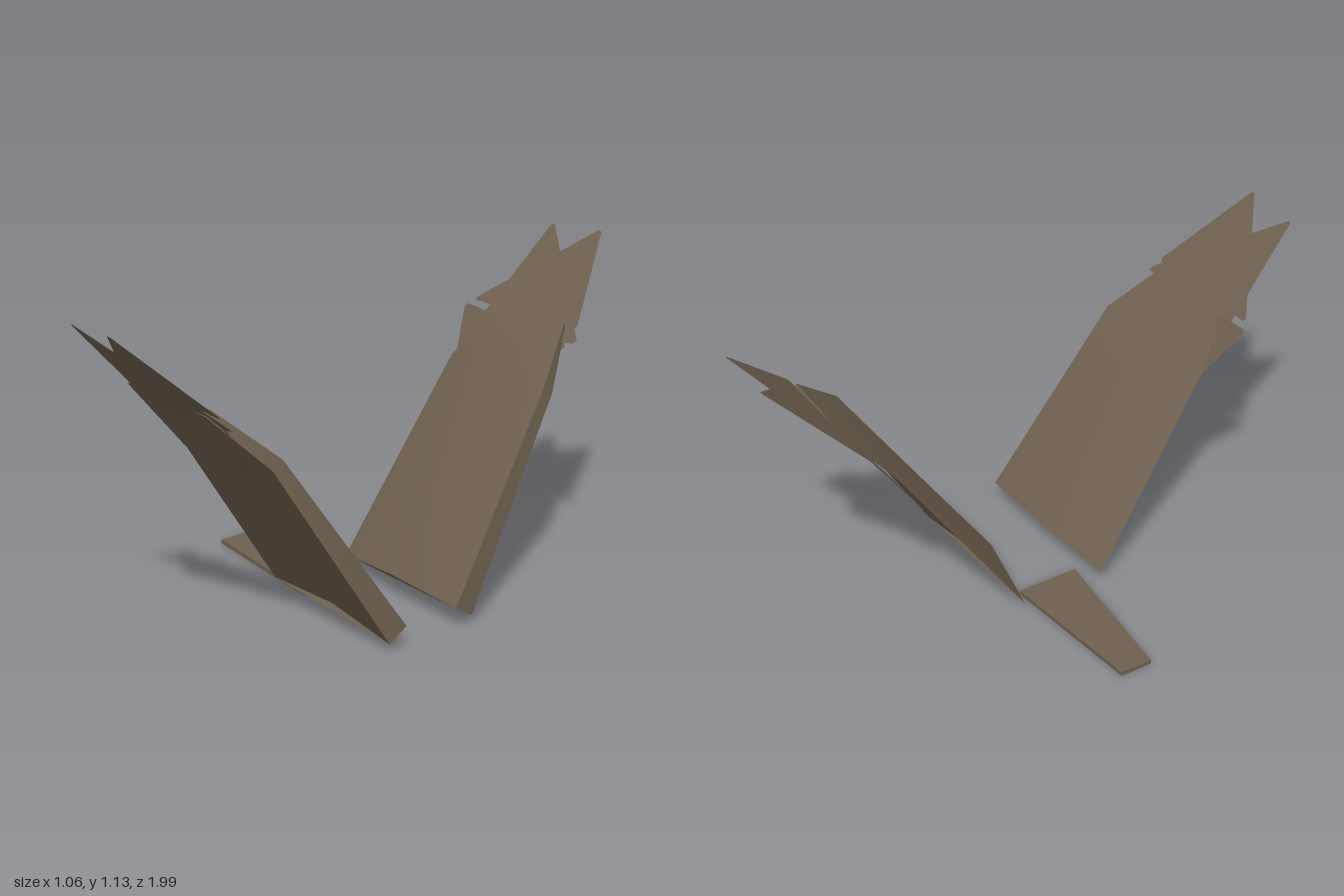
import * as THREE from 'three';
import { toCreasedNormals } from 'three/addons/utils/BufferGeometryUtils.js';

const brown = new THREE.MeshStandardMaterial({ color: 0x6e604f, side: THREE.DoubleSide });
brown.name = 'featherBrown';

function part(name, points, index) {
  let geo = new THREE.BufferGeometry();
  geo.setAttribute('position', new THREE.Float32BufferAttribute(points.flat(), 3));
  geo.setIndex(index);
  geo = toCreasedNormals(geo, 0.5);
  const mesh = new THREE.Mesh(geo, brown);
  mesh.name = name;
  return mesh;
}

// Skin a solid through equal-sized closed cross-sections; caps fan from one corner
function loft(name, sections, capCorner) {
  const n = sections[0].length, index = [];
  for (let i = 0; i < sections.length - 1; i++) {
    for (let k = 0; k < n; k++) {
      const a = i * n + k, b = i * n + (k + 1) % n;
      index.push(a, b, b + n, a, b + n, a + n);
    }
  }
  const last = (sections.length - 1) * n;
  for (let k = 1; k < n - 1; k++) {
    const p = (capCorner + k) % n, q = (capCorner + k + 1) % n;
    index.push(capCorner, q, p, last + capCorner, last + p, last + q);
  }
  return part(name, sections.flat(), index);
}

// Thin triangular feather with slightly clipped corners
function feather(name, corners) {
  const v = corners.map(c => new THREE.Vector3(...c));
  const points = [], index = [];
  v.forEach((p, i) => {
    for (const other of [v[(i + 2) % 3], v[(i + 1) % 3]]) {
      const dir = other.clone().sub(p).normalize();
      points.push(p.clone().addScaledVector(dir, 0.015).toArray());
    }
  });
  for (let k = 1; k < 5; k++) index.push(0, k, k + 1);
  return part(name, points, index);
}

function makeWing() {
  const wing = new THREE.Group();
  // Sections at root, bend and tip: thick leading edge tapering to a sharp trailing edge
  wing.add(loft('wingPanel', [
    [[0.53, 0.075, 0.105], [0.21, 0.085, 0.107], [-0.09, 0.047, 0.155], [0.21, 0.055, 0.15], [0.53, 0.032, 0.175]],
    [[0.46, 0.718, 0.54], [0.2, 0.712, 0.55], [-0.045, 0.70, 0.59], [0.2, 0.69, 0.58], [0.46, 0.69, 0.578]],
    [[0.36, 0.885, 0.725], [0.2, 0.882, 0.725], [0.04, 0.862, 0.728], [0.2, 0.867, 0.738], [0.35, 0.865, 0.74]],
  ], 2));
  // Overlapping feathers at the wing tip
  wing.add(feather('lowerFeather', [[-0.112, 0.852, 0.712], [0.11, 0.372, 0.385], [0.405, 0.825, 0.698]]));
  wing.add(feather('middleFeather', [[0.028, 1.128, 0.995], [-0.032, 0.767, 0.65], [0.445, 0.833, 0.703]]));
  wing.add(feather('upperFeather', [[-0.088, 0.866, 0.726], [0.416, 0.87, 0.726], [0.25, 1.142, 1.005]]));
  return wing;
}

export function createModel() {
  const model = new THREE.Group();
  model.name = 'wingsAndTail';

  const left = makeWing();
  left.name = 'frontWing';
  const right = makeWing();
  right.name = 'backWing';
  right.scale.z = -1;
  model.add(left, right);

  // Flat tail, narrowing towards its end
  const tailSection = (x, w) => [[x, 0, -w], [x, 0, w], [x, 0.015, w], [x, 0.015, -w]];
  model.add(loft('tail', [tailSection(0.01, 0.113), tailSection(-0.532, 0.058)], 0));
  return model;
}
